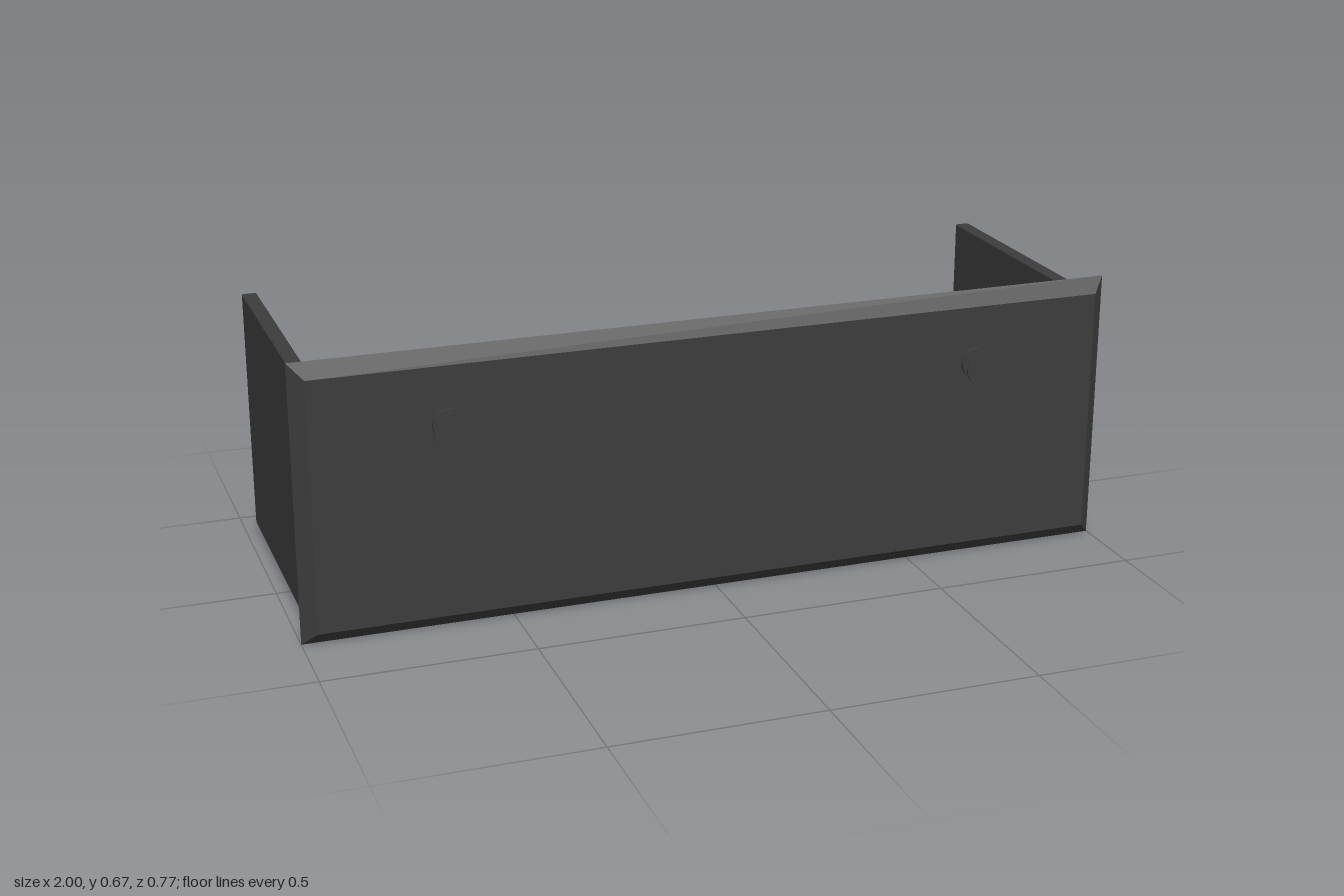
import * as THREE from 'three';
import { RoundedBoxGeometry } from 'three/addons/geometries/RoundedBoxGeometry.js';

const material = new THREE.MeshStandardMaterial({ color: 0x3c3c3c });

function add(parent, name, geometry, x, y, z) {
  const mesh = new THREE.Mesh(geometry, material);
  mesh.name = name;
  mesh.position.set(x, y, z);
  parent.add(mesh);
  return mesh;
}

// Front panel: a slab whose front face is inset to make chamfered edges
function bevelledPanel(width, height, depth, inset) {
  const geometry = new THREE.BoxGeometry(width, height, depth);
  const p = geometry.attributes.position;
  for (let i = 0; i < p.count; i++) {
    if (p.getZ(i) > 0) {
      p.setX(i, p.getX(i) - Math.sign(p.getX(i)) * inset);
      p.setY(i, p.getY(i) - Math.sign(p.getY(i)) * inset);
    }
  }
  geometry.computeVertexNormals();
  return geometry;
}

// Knob: base plate, slim stem and flared head, turned around the z axis
function knobGeometry() {
  const profile = [
    [0, 0], [0.037, 0], [0.037, 0.009], [0.016, 0.009], [0.015, 0.013],
    [0.015, 0.032], [0.018, 0.036], [0.024, 0.039], [0.043, 0.047],
    [0.045, 0.048], [0.045, 0.052], [0, 0.052],
  ];
  // Hard edges are kept by building each straight run separately
  const points = [];
  profile.forEach(([r, h], i) => {
    points.push(new THREE.Vector2(r, h));
    if ([1, 2, 3, 9, 10].includes(i)) points.push(new THREE.Vector2(r, h + 0.0001));
  });
  return new THREE.LatheGeometry(points, 40).rotateX(Math.PI / 2);
}

export function createModel() {
  const drawer = new THREE.Group();
  drawer.name = 'drawer';

  add(drawer, 'frontPanel', bevelledPanel(2, 0.672, 0.033, 0.034), 0, 0.336, 0.3165);

  // Floor, stopping just short of the front panel; the back stays open
  add(drawer, 'floor', new RoundedBoxGeometry(1.89, 0.034, 0.677, 2, 0.003), 0, 0.047, -0.0445);

  // Side walls and knobs, mirrored
  const knob = knobGeometry();
  for (const [side, s] of [['left', 1], ['right', -1]]) {
    add(drawer, side + 'Wall', new RoundedBoxGeometry(0.036, 0.6, 0.686, 2, 0.004), s * 0.959, 0.33, -0.042);
    add(drawer, side + 'Knob', knob, s * 0.65, 0.5, 0.333);
  }
  return drawer;
}
